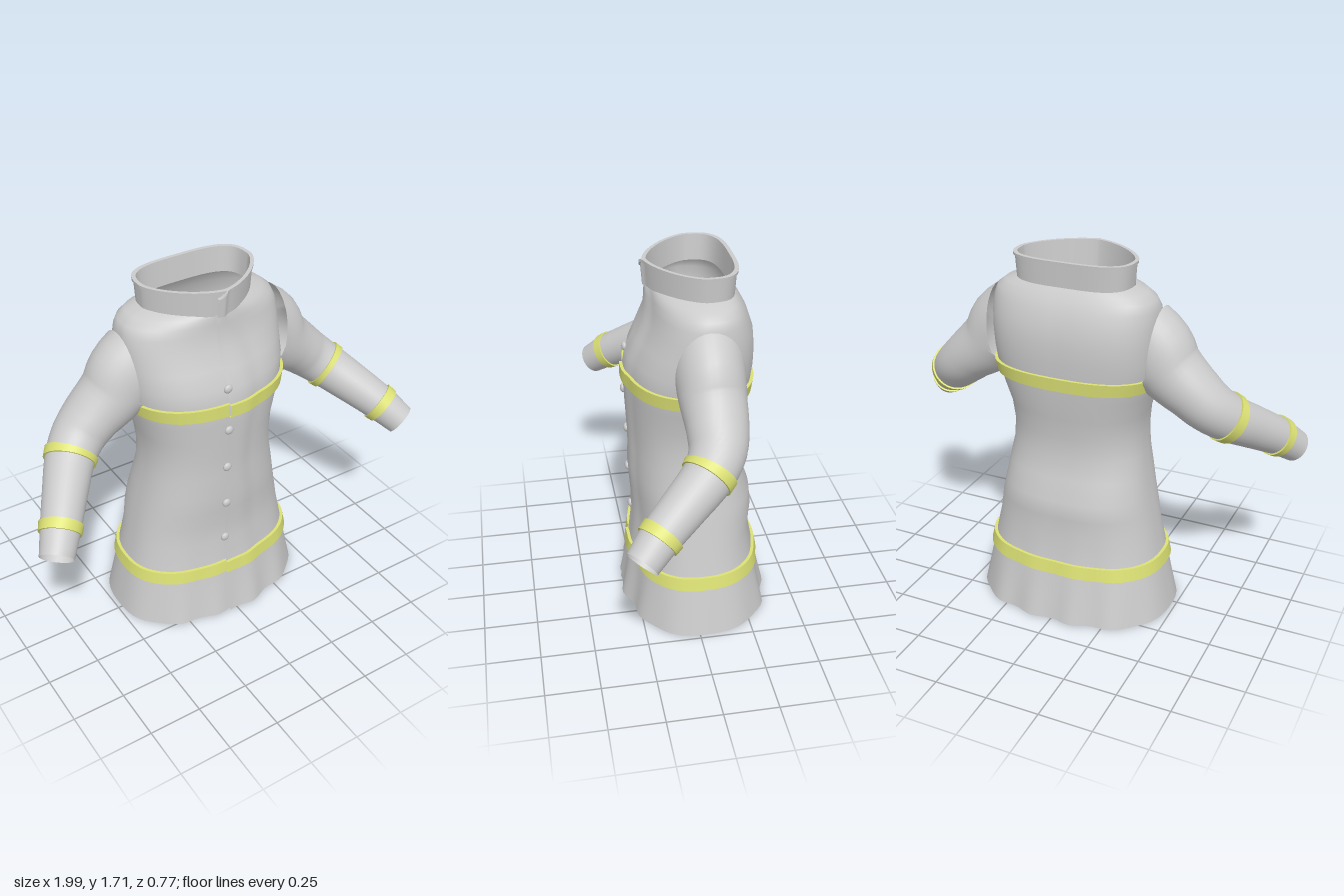
import * as THREE from 'three';

const cloth = new THREE.MeshStandardMaterial({ color: 0xcbcbcb, side: THREE.DoubleSide });
cloth.name = 'grey cloth';
const reflective = new THREE.MeshStandardMaterial({ color: 0xdbe074, side: THREE.DoubleSide });
reflective.name = 'yellow band';

// Torso sections: y, half width, front z, back z, z of widest point, front and back roundness
const SECTIONS = [
  [0.00, 0.48, 0.300, -0.380, -0.02, 2.4, 2.5],
  [0.12, 0.455, 0.278, -0.355, -0.02, 2.4, 2.5],
  [0.25, 0.428, 0.258, -0.328, -0.02, 2.4, 2.5],
  [0.42, 0.392, 0.236, -0.298, -0.02, 2.4, 2.5],
  [0.52, 0.375, 0.236, -0.310, -0.02, 2.4, 2.5],
  [0.60, 0.358, 0.242, -0.302, -0.02, 2.4, 2.5],
  [0.70, 0.340, 0.248, -0.265, -0.02, 2.4, 2.5],
  [0.80, 0.323, 0.244, -0.243, -0.01, 2.3, 2.4],
  [0.90, 0.316, 0.247, -0.244, -0.01, 2.3, 2.4],
  [1.00, 0.325, 0.252, -0.258, -0.02, 2.3, 2.4],
  [1.10, 0.353, 0.257, -0.276, -0.03, 2.3, 2.5],
  [1.20, 0.377, 0.260, -0.285, -0.04, 2.3, 2.6],
  [1.28, 0.385, 0.246, -0.293, -0.04, 2.3, 2.7],
  [1.36, 0.388, 0.208, -0.294, -0.05, 2.3, 2.7],
  [1.44, 0.390, 0.172, -0.286, -0.05, 2.2, 2.7],
  [1.51, 0.385, 0.158, -0.262, -0.05, 2.0, 2.7],
  [1.55, 0.368, 0.156, -0.240, -0.06, 1.9, 2.8],
  [1.58, 0.330, 0.155, -0.220, -0.06, 1.7, 2.9],
  [1.60, 0.270, 0.155, -0.203, -0.06, 1.5, 3.0],
];

function sectionAt(y) {
  let i = 0;
  while (i < SECTIONS.length - 2 && y > SECTIONS[i + 1][0]) i++;
  const a = SECTIONS[i], b = SECTIONS[i + 1], t = (y - a[0]) / (b[0] - a[0]);
  return a.map((v, k) => v + (b[k] - v) * t);
}

// One ring running round the body from under the placket to its outer edge at x = -0.04
function bodyRing([y, w, zf, zb, zc, nf, nb], off = 0, dip = 0) {
  const N = 130, pts = [];
  const start = Math.asin((0.05 / w) ** (nf / 2));
  const end = -Math.asin((0.04 / w) ** (nf / 2)) - 2 * Math.PI;
  for (let i = 0; i <= N; i++) {
    const u = i / N, a = start + (end - start) * u;
    const s = Math.sin(a), c = Math.cos(a), n = c > 0 ? nf : nb;
    const x = Math.sign(s) * (w + off) * Math.abs(s) ** (2 / n);
    const depth = c > 0 ? zf - zc + off : zc - zb + off;
    // Soft folds toward the hem
    const fold = 1 - 0.028 * Math.max(0, 1 - y / 0.35) * Math.cos(10 * Math.PI * x);
    const z = zc + Math.sign(c) * depth * fold * Math.abs(c) ** (2 / n);
    const flap = THREE.MathUtils.smoothstep(u, 0.94, 0.98);
    pts.push(new THREE.Vector3(x, y - dip * THREE.MathUtils.smoothstep(u, 0.96, 1), z + 0.014 * flap));
  }
  return pts;
}

// Skin a stack of rings
function loft(rows, closed = false) {
  const n = rows[0].length, cols = closed ? n : n - 1, index = [];
  for (let i = 0; i < rows.length - 1; i++) {
    for (let j = 0; j < cols; j++) {
      const a = i * n + j, b = i * n + (j + 1) % n;
      index.push(b, a, a + n, b, a + n, b + n);
    }
  }
  const g = new THREE.BufferGeometry().setFromPoints(rows.flat());
  g.setIndex(index);
  g.computeVertexNormals();
  return g;
}

function mesh(name, geometry, material) {
  const m = new THREE.Mesh(geometry, material);
  m.name = name;
  return m;
}

// Raised band with crisp edges, given ring(position, offset)
function bandGeometry(ring, lo, hi, off, closed) {
  const b = ring(lo, off), t = ring(hi, off);
  return loft([ring(lo, 0), b, b, t, t, ring(hi, 0)], closed);
}

// Sleeve centre line with radii (vertical, sideways)
const SLEEVE = [
  [0.385, 1.32, -0.05, 0.205, 0.15],
  [0.43, 1.25, -0.05, 0.155, 0.145],
  [0.545, 1.155, -0.05, 0.128, 0.132],
  [0.62, 1.09, -0.035, 0.117, 0.122],
  [0.69, 1.03, 0.015, 0.108, 0.110],
  [0.78, 0.95, 0.13, 0.098, 0.098],
  [0.865, 0.87, 0.245, 0.087, 0.087],
  [0.93, 0.797, 0.328, 0.075, 0.075],
];

function sleeveRing(side) {
  const curve = new THREE.CatmullRomCurve3(SLEEVE.map(p => new THREE.Vector3(side * p[0], p[1], p[2])));
  const last = SLEEVE.length - 1, outward = new THREE.Vector3(side, -0.08, 0);
  return (t, off) => {
    const i = Math.min(last - 1, Math.floor(t * last)), f = t * last - i;
    const [ru, rv] = [3, 4].map(k => SLEEVE[i][k] + (SLEEVE[i + 1][k] - SLEEVE[i][k]) * f + off);
    const c = curve.getPoint(t);
    const n = curve.getTangent(t).lerp(outward, Math.max(0, 1 - t * last)).normalize();
    const u = new THREE.Vector3(0, 1, 0).addScaledVector(n, -n.y).normalize();
    const v = u.clone().cross(n);
    return Array.from({ length: 32 }, (_, k) => {
      const a = k / 32 * 2 * Math.PI;
      return c.clone().addScaledVector(u, ru * Math.cos(a)).addScaledVector(v, rv * Math.sin(a));
    });
  };
}

export function createModel() {
  const coat = new THREE.Group();
  coat.name = 'coat';

  // Body with overlapping front
  coat.add(mesh('body', loft(SECTIONS.map(s => bodyRing(s))), cloth));

  // Standing collar with a thick rim, lined inside
  const collar = (y, grow, off, dip) =>
    bodyRing([y, 0.264 + grow, 0.16 + grow, -0.203 - grow, -0.06, 1.5, 3.2], off, dip);
  const low = collar(1.59, 0, 0.004, 0), high = collar(1.695, 0.007, 0.004, 0.03);
  const rimLow = collar(1.697, 0.007, 0.01, 0.03), rimTop = collar(1.71, 0.008, 0.01, 0.03);
  const inTop = collar(1.71, 0.008, -0.008, 0.03);
  coat.add(mesh('collar', loft([low, high, high, rimLow, rimLow, rimTop, rimTop, inTop, inTop,
    collar(1.59, 0, -0.008, 0)]), cloth));

  // Bands round the chest and skirt
  const bodyAt = (y, off) => bodyRing(sectionAt(y), off);
  coat.add(mesh('chestBand', bandGeometry(bodyAt, 1.15, 1.21, 0.014), reflective));
  coat.add(mesh('skirtBand', bandGeometry(bodyAt, 0.235, 0.295, 0.014), reflective));

  // Sleeves with two bands each
  for (const [side, name] of [[1, 'left'], [-1, 'right']]) {
    const ring = sleeveRing(side);
    const rows = Array.from({ length: 29 }, (_, i) => ring(i / 28, 0));
    coat.add(mesh(name + 'Sleeve', loft(rows, true), cloth));
    coat.add(mesh(name + 'ElbowBand', bandGeometry(ring, 0.55, 0.592, 0.008, true), reflective));
    coat.add(mesh(name + 'CuffBand', bandGeometry(ring, 0.838, 0.88, 0.008, true), reflective));
  }

  // Buttons down the placket
  const buttonShape = new THREE.SphereGeometry(0.021, 16, 10).scale(1, 1, 0.6);
  for (const y of [1.285, 1.075, 0.865, 0.655, 0.44]) {
    const button = mesh('button', buttonShape, cloth);
    button.position.set(-0.04, y, sectionAt(y)[2] + 0.016);
    coat.add(button);
  }
  return coat;
}
